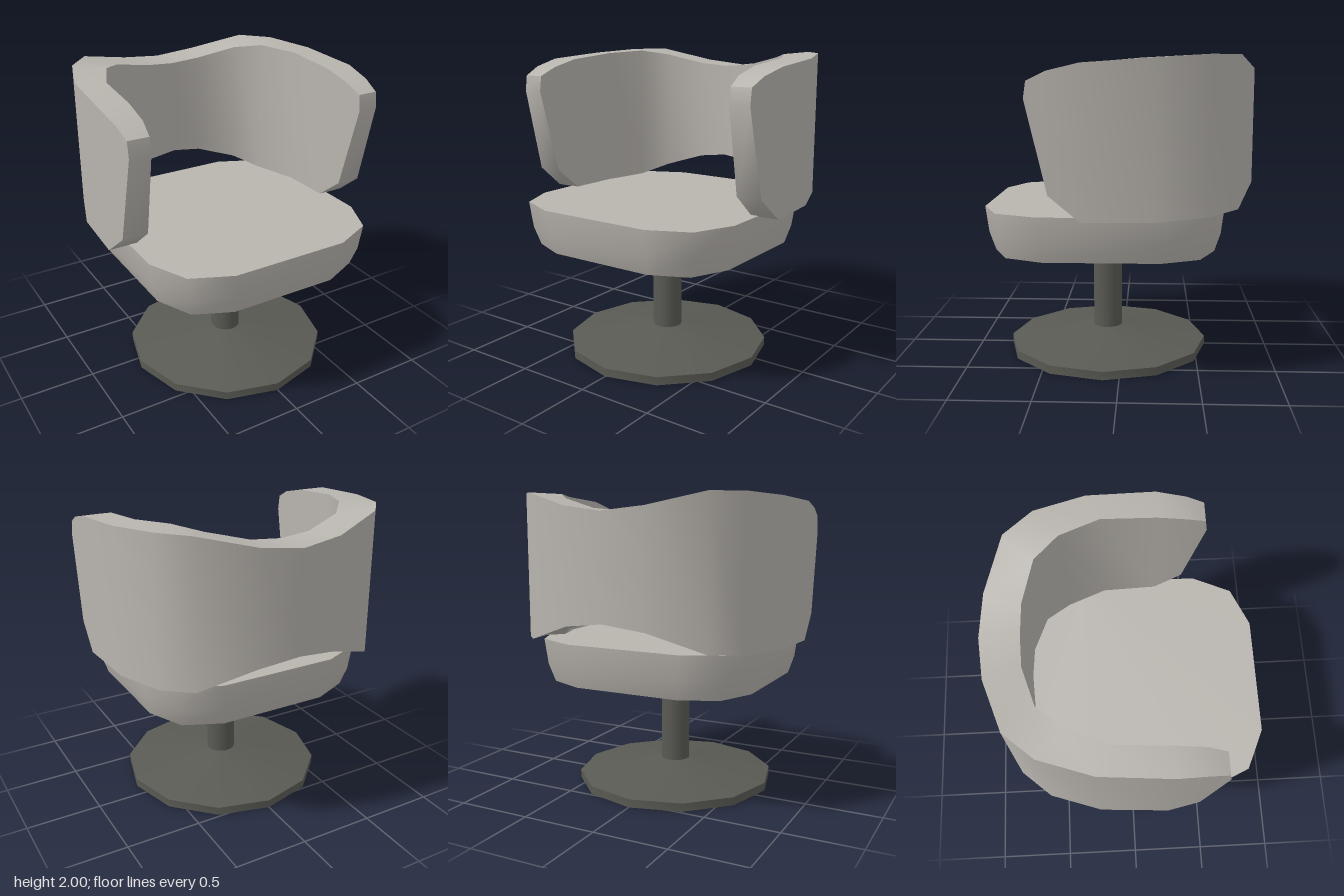
import * as THREE from 'three';
import { toCreasedNormals } from 'three/addons/utils/BufferGeometryUtils.js';

const CREASE = THREE.MathUtils.degToRad(45);
const CENTER_Z = 0.105; // axis of the seat, column and foot

// Skin a row of equal-sized closed rings and cap both ends
function loft(rings) {
  const n = rings[0].length;
  const index = [];
  for (let i = 0; i < rings.length - 1; i++) {
    for (let j = 0; j < n; j++) {
      const k = (j + 1) % n;
      const a = i * n + j, b = i * n + k, c = b + n, d = a + n;
      index.push(a, b, c, a, c, d);
    }
  }
  const last = (rings.length - 1) * n;
  for (let j = 1; j < n - 1; j++) {
    index.push(0, j + 1, j);
    index.push(last, last + j, last + j + 1);
  }
  const geometry = new THREE.BufferGeometry();
  geometry.setAttribute('position', new THREE.Float32BufferAttribute(rings.flat(2), 3));
  geometry.setIndex(index);
  return toCreasedNormals(geometry, CREASE);
}

// Rounded-square cushion, tapering towards its underside
function seatGeometry() {
  const corner = [[0.765, 0.39], [0.65, 0.65], [0.39, 0.765]];
  const outline = [];
  for (let q = 0; q < 4; q++) {
    const c = [1, 0, -1, 0][q], s = [0, 1, 0, -1][q];
    for (const [x, y] of corner) outline.push([x * c - y * s, x * s + y * c]);
  }
  const levels = [[0.76, 0.925], [0.88, 0.974], [1.05, 1]];
  return loft(levels.map(([y, k]) => outline.map(([x, d]) => [x * k, y, -d * k])));
}

// Wraparound back and arms: half the stations, mirrored across x
function backGeometry() {
  // outer x, z, top, bottom; inner x, z, top, bottom; z shift of the bottom edge
  const half = [
    [0.87, 0.515, 1.85, 1.75, 0.735, 0.515, 1.85, 1.75, 0.015],
    [0.882, 0.4, 1.905, 1.2, 0.718, 0.4, 1.905, 1.2, 0],
    [0.897, 0.21, 1.95, 1.045, 0.712, 0.21, 1.95, 1.045, 0],
    [0.87, -0.22, 1.98, 1.045, 0.7, -0.14, 1.98, 1.048, 0],
    [0.765, -0.54, 2.0, 1.06, 0.59, -0.39, 1.995, 1.065, 0],
    [0.61, -0.72, 2.0, 1.08, 0.455, -0.54, 1.965, 1.13, 0],
    [0.27, -0.84, 1.92, 1.2, 0.2, -0.62, 1.905, 1.21, 0],
    [0, -0.87, 1.89, 1.235, 0, -0.63, 1.89, 1.235, 0],
  ];
  const section = ([ox, oz, ot, ob, ix, iz, it, ib, dz], side) => [
    [ix * side, it, iz], [ox * side, ot, oz],
    [ox * side, ob, oz + dz], [ix * side, ib, iz + dz],
  ];
  return loft([
    ...half.map((s) => section(s, 1)),
    ...half.slice(0, -1).reverse().map((s) => section(s, -1)),
  ]);
}

// Shallow twelve-sided cone with a hole under the column
function footGeometry() {
  const profile = [[0.098, 0], [0.68, 0], [0.68, 0.055], [0.098, 0.145]];
  const lathe = new THREE.LatheGeometry(profile.map(([r, y]) => new THREE.Vector2(r, y)), 12);
  return toCreasedNormals(lathe, CREASE);
}

export function createModel() {
  const fabric = new THREE.MeshStandardMaterial({ color: 0xb8b4ae });
  fabric.name = 'greyFabric';
  const metal = new THREE.MeshStandardMaterial({ color: 0x5a5a54, side: THREE.DoubleSide });
  metal.name = 'darkMetal';

  const model = new THREE.Group();
  model.name = 'swivelArmchair';
  const add = (name, geometry, material, y = 0, z = 0) => {
    const mesh = new THREE.Mesh(geometry, material);
    mesh.name = name;
    mesh.position.set(0, y, z);
    model.add(mesh);
  };

  add('foot', footGeometry(), metal, 0, CENTER_Z);
  add('column', new THREE.CylinderGeometry(0.098, 0.098, 0.76, 24, 1, true), metal, 0.38, CENTER_Z);
  add('seat', seatGeometry(), fabric, 0, CENTER_Z);
  add('backAndArms', backGeometry(), fabric);
  return model;
}
